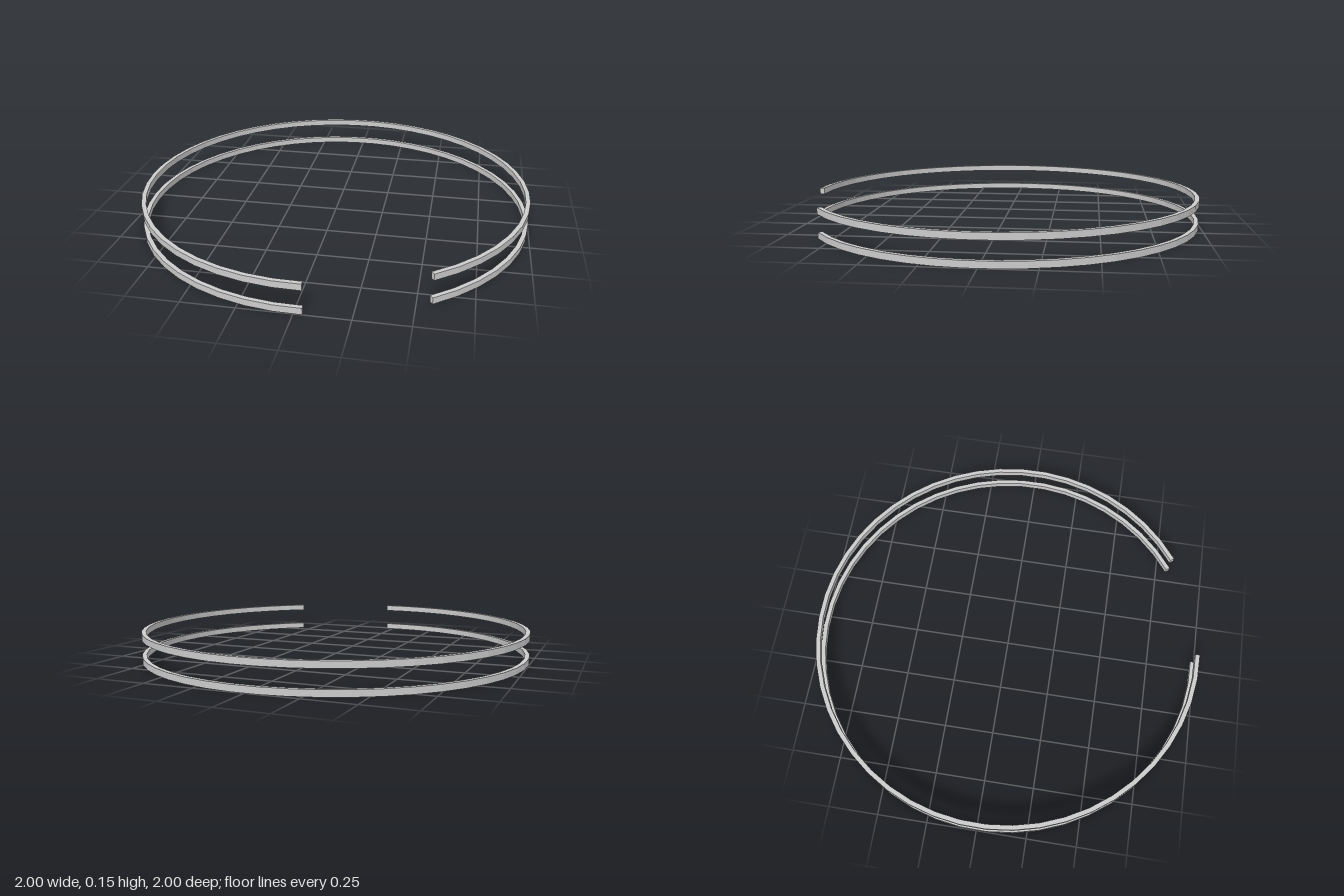
import * as THREE from 'three';

const OUTER = 1.0, INNER = 0.977, HEIGHT = 0.032, TOTAL = 0.15;
const START = THREE.MathUtils.degToRad(-55.3); // gap edge on the left
const END = THREE.MathUtils.degToRad(272.3);   // gap edge at the front

// Open ring with a rectangular section, lying flat with its underside at y = 0
function openRing() {
  const shape = new THREE.Shape();
  shape.absarc(0, 0, OUTER, START, END, false);
  shape.absarc(0, 0, INNER, END, START, true);
  const geometry = new THREE.ExtrudeGeometry(shape, {
    depth: HEIGHT, bevelEnabled: false, curveSegments: 22,
  });
  return geometry.rotateX(-Math.PI / 2);
}

export function createModel() {
  const group = new THREE.Group();
  group.name = 'pairOfOpenRings';
  const material = new THREE.MeshStandardMaterial({ color: 0xcccccc, flatShading: true });
  const geometry = openRing();

  // Two identical rings, one above the other
  for (const [name, y] of [['lowerRing', 0], ['upperRing', TOTAL - HEIGHT]]) {
    const ring = new THREE.Mesh(geometry, material);
    ring.name = name;
    ring.position.y = y;
    group.add(ring);
  }
  return group;
}
